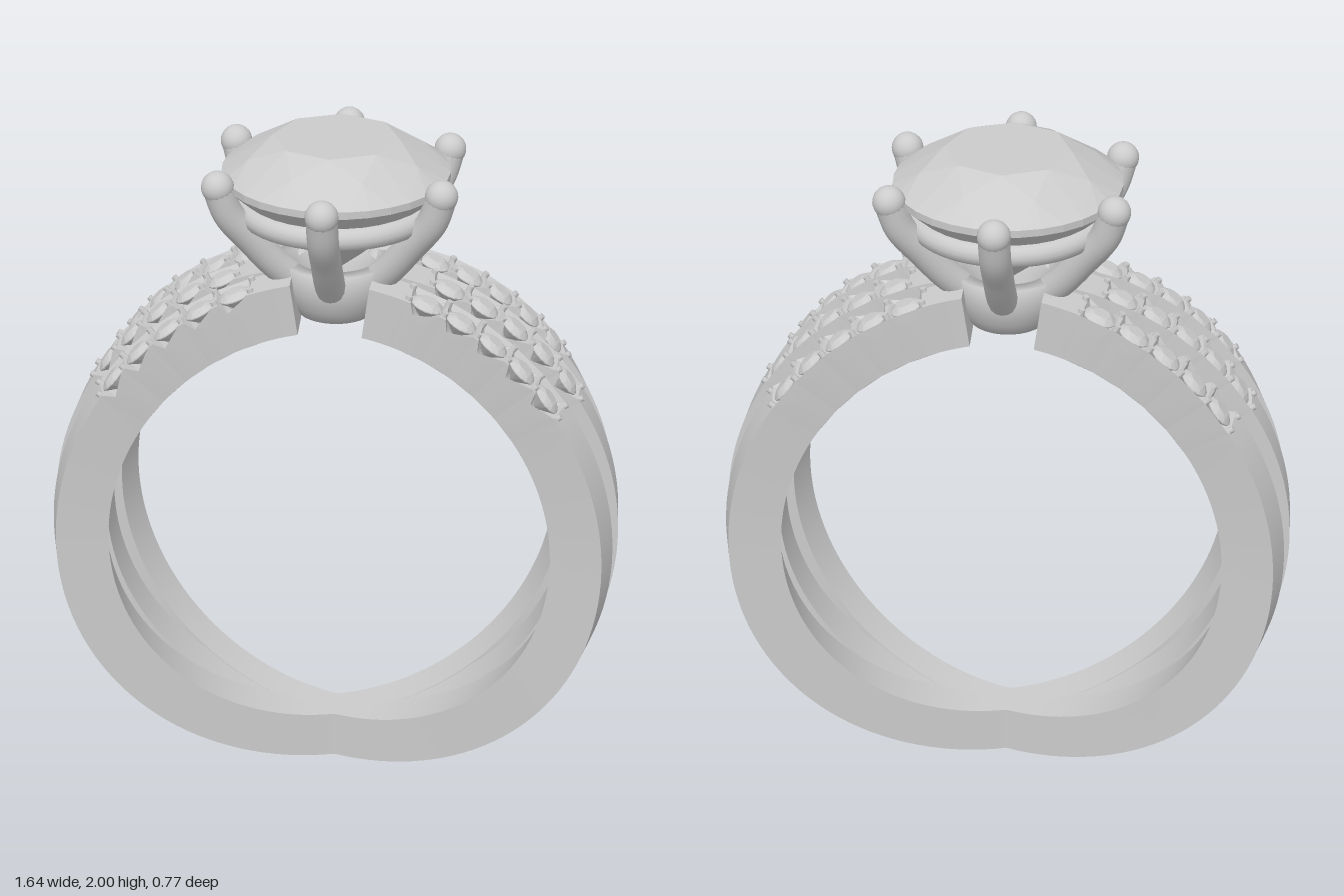
import * as THREE from 'three';
import { ConvexGeometry } from 'three/addons/geometries/ConvexGeometry.js';

const RAD = Math.PI / 180;
const CENTRE_Y = 0.82, OUTER = 0.82, INNER = 0.67, HALF_WIDTH = 0.056;
const STEP = 7.6 * RAD, STONES = 5;
const metal = new THREE.MeshStandardMaterial({ color: 0xcccccc, side: THREE.DoubleSide });
const faceted = new THREE.MeshStandardMaterial({ color: 0xcccccc, flatShading: true });

function add(parent, name, geometry, material = metal) {
  const mesh = new THREE.Mesh(geometry, material);
  mesh.name = name;
  parent.add(mesh);
  return mesh;
}

// Point on a band: k = -1 back, 0 middle, 1 front; a = angle, v = across, r = radius.
// The outer bands splay away from a shared base and stay apart at the head.
function bandPoint(k, a, v, r) {
  const c = Math.abs(Math.cos(a)), side = Math.sign(Math.cos(a)) || 1;
  const y = CENTRE_Y + r * Math.sin(a);
  if (k === 0) return new THREE.Vector3(r * Math.cos(a), y, v);
  const gap = Math.sin(a) > 0 ? 0.1 * (1 - c) : 0;
  return new THREE.Vector3(side * (0.963 * r * c - k * v * 0.267 * c), y,
    k * (gap + 0.267 * r * c) + v * 0.97);
}

function warp(geometry, rule) {
  const p = geometry.attributes.position;
  for (let i = 0; i < p.count; i++) {
    const q = rule(p.getX(i), p.getY(i), p.getZ(i));
    p.setXYZ(i, q.x, q.y, q.z);
  }
  geometry.computeVertexNormals();
  return geometry;
}

// Plain length of band between two angles
function plainBand(k, a0, a1, segments) {
  return warp(new THREE.BoxGeometry(1, 1, 1, segments, 1, 1), (x, y, z) =>
    bandPoint(k, a0 + (x + 0.5) * (a1 - a0), y * 2 * HALF_WIDTH, z > 0 ? OUTER : INNER));
}

// One drilled stone seat, scooped on its outer face
function stoneSeat(k, a) {
  const half = 0.054, points = [], n = 12;
  for (const side of [-1, 1]) {
    for (let i = 0; i <= n; i++) {
      const s = side * (1 - 2 * i / n);
      points.push(new THREE.Vector2(s * half, -side * -1 * (HALF_WIDTH + 0.0008 * (1 - s * s))));
    }
  }
  points.reverse();
  const shape = new THREE.Shape(points);
  const hole = new THREE.Path();
  hole.absarc(0, 0, 0.028, 0, Math.PI * 2, true);
  shape.holes.push(hole);
  const geometry = new THREE.ExtrudeGeometry(shape, { depth: 1, bevelEnabled: false, curveSegments: 10 });
  return warp(geometry, (u, v, d) => {
    const s = u / half;
    const scoop = 0.045 * Math.sqrt(Math.max(0, 1 - (s / 0.72) ** 2));
    return bandPoint(k, a + s * STEP / 2, v, d > 0.5 ? OUTER - scoop : INNER);
  });
}

// Round brilliant cut with its girdle at y = 0 and radius 0.31
function brilliant(sides) {
  const points = [];
  const ring = (n, r, y, turn = 0) => {
    for (let i = 0; i < n; i++) {
      const a = (i + turn) / n * Math.PI * 2;
      points.push(new THREE.Vector3(r * Math.cos(a), y, r * Math.sin(a)));
    }
  };
  ring(8, 0.17, 0.1);
  ring(8, 0.245, 0.06, 0.5);
  ring(sides, 0.31, 0.01);
  ring(sides, 0.31, -0.01);
  ring(8, 0.08, -0.225, 0.5);
  points.push(new THREE.Vector3(0, -0.29, 0));
  return new ConvexGeometry(points);
}

export function createModel() {
  const model = new THREE.Group();
  model.name = 'ring';

  // Three bands with a row of small stones on each shoulder
  const smallStone = brilliant(16).scale(0.152, 0.152, 0.152);
  const bead = new THREE.CylinderGeometry(0.009, 0.011, 0.045, 8);
  const bandNames = { '-1': 'backBand', 0: 'middleBand', 1: 'frontBand' };
  for (const k of [-1, 0, 1]) {
    const band = new THREE.Group();
    band.name = bandNames[k];
    model.add(band);

    const first = (k === 0 ? 36.6 : 39.8) * RAD;
    const low = first - STEP / 2, high = low + STONES * STEP, end = 82 * RAD;
    add(band, 'shank', plainBand(k, Math.PI - low, Math.PI * 2 + low, 96));
    add(band, 'rightShoulder', plainBand(k, Math.PI - end, Math.PI - high, 5));
    add(band, 'leftShoulder', plainBand(k, high, end, 5));

    for (const mirror of [false, true]) {
      const angle = a => (mirror ? Math.PI - a : a);
      const place = (mesh, a, v, r) => {
        mesh.position.copy(bandPoint(k, a, v, r));
        mesh.rotation.z = a - Math.PI / 2;
      };
      for (let i = 0; i < STONES; i++) {
        const a = angle(first + i * STEP);
        add(band, 'stoneSeat', stoneSeat(k, a));
        place(add(band, 'smallStone', smallStone, faceted), a, 0, 0.808);
      }
      for (let i = 0; i <= STONES; i++) {
        for (const v of [-0.038, 0.038]) {
          place(add(band, 'stoneBead', bead), angle(low + i * STEP), v, 0.808);
        }
      }
    }
  }

  // Head: open collar, gallery ring and six prongs
  const head = new THREE.Group();
  head.name = 'head';
  model.add(head);
  const collar = [[0.075, 1.5], [0.11, 1.495], [0.138, 1.535], [0.155, 1.585], [0.16, 1.655],
    [0.12, 1.655], [0.095, 1.58], [0.075, 1.5]].map(p => new THREE.Vector2(...p));
  add(head, 'collar', new THREE.LatheGeometry(collar, 48));

  const gallery = add(head, 'galleryRing', new THREE.TorusGeometry(0.25, 0.033, 14, 64));
  gallery.rotation.x = Math.PI / 2;
  gallery.position.y = 1.81;

  const path = new THREE.CatmullRomCurve3([[0.13, 1.61], [0.185, 1.665], [0.25, 1.745], [0.315, 1.83], [0.343, 1.91]]
    .map(([r, y]) => new THREE.Vector3(r, y, 0)));
  const prongGeometry = new THREE.TubeGeometry(path, 24, 0.042, 16);
  const tipGeometry = new THREE.SphereGeometry(0.044, 20, 14);
  for (let i = 0; i < 6; i++) {
    const prong = new THREE.Group();
    prong.name = 'prong';
    prong.rotation.y = (30 + i * 60) * RAD;
    head.add(prong);
    add(prong, 'prongStem', prongGeometry);
    add(prong, 'prongTip', tipGeometry).position.set(0.343, 1.91, 0);
  }

  // Main stone
  add(model, 'mainStone', brilliant(32), faceted).position.y = 1.9;
  return model;
}
